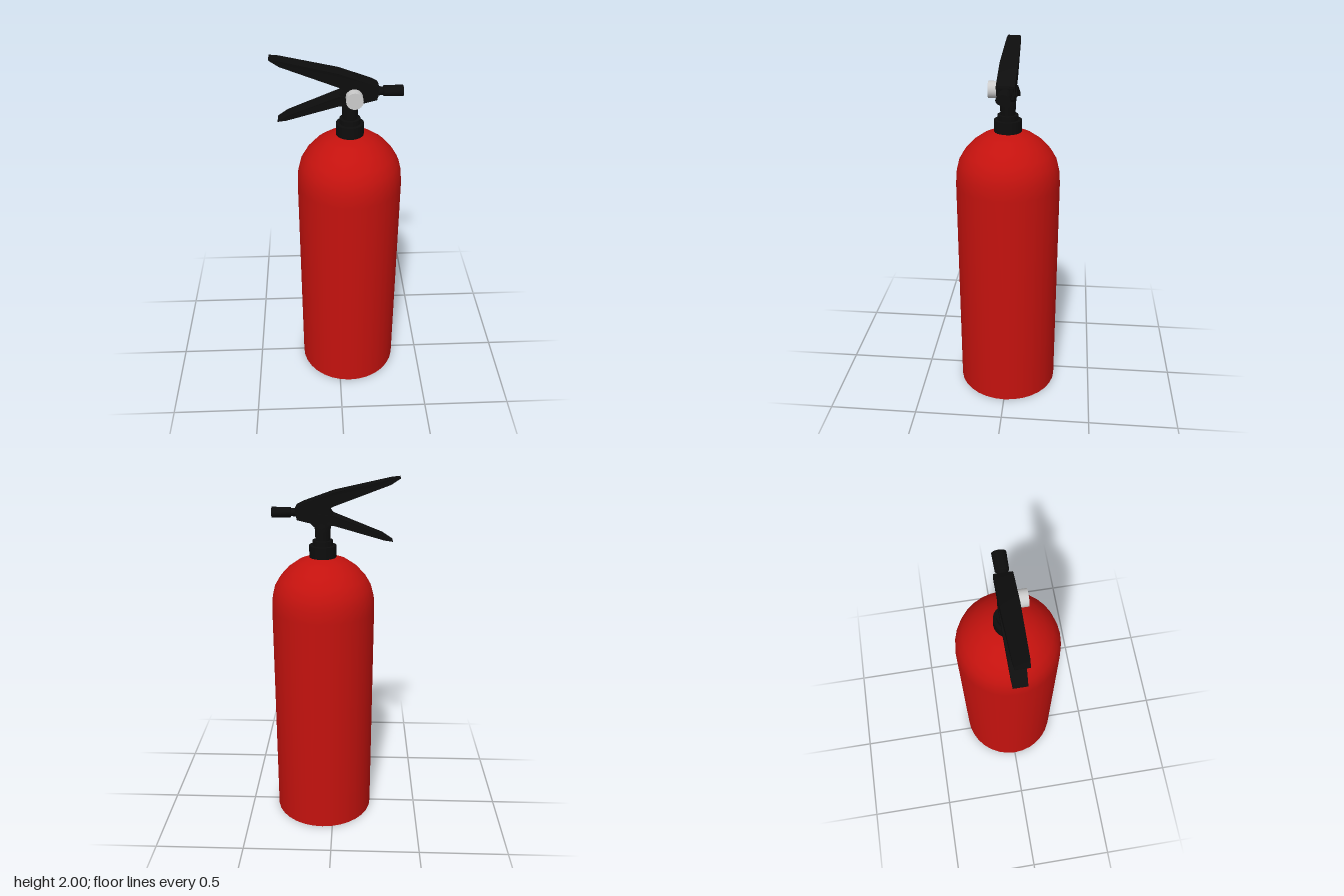
import * as THREE from 'three';
import { toCreasedNormals } from 'three/addons/utils/BufferGeometryUtils.js';

const red = new THREE.MeshStandardMaterial({ color: 0xc4120e });
const black = new THREE.MeshStandardMaterial({ color: 0x0d0d0d });
const grey = new THREE.MeshStandardMaterial({ color: 0xcccccc });
const AXIS = 0.06; // x of the tank's axis

export function createModel() {
  const group = new THREE.Group();

  const add = (name, geometry, material, x = 0, y = 0, z = 0) => {
    const mesh = new THREE.Mesh(geometry, material);
    mesh.name = name;
    mesh.position.set(x, y, z);
    group.add(mesh);
    return mesh;
  };
  const lathe = (pts, sides) =>
    new THREE.LatheGeometry(pts.map(([r, y]) => new THREE.Vector2(r, y)), sides);

  // side outline given a thickness that varies along x
  const lever = (pts, halfWidth) => {
    const shape = new THREE.Shape(pts.map(([x, y]) => new THREE.Vector2(x, y)));
    const geo = new THREE.ExtrudeGeometry(shape, { depth: 2, bevelEnabled: false });
    const p = geo.attributes.position;
    for (let i = 0; i < p.count; i++) {
      p.setZ(i, (p.getZ(i) - 1) * halfWidth(p.getX(i)));
    }
    return toCreasedNormals(geo, 0.5);
  };
  const taper = (x) => {
    if (x >= 0) return 0.048;
    if (x > -0.29) return 0.048 + x * 0.028;
    return 0.04 - (-0.29 - x) * 0.1;
  };

  // tank: straight wall, rounded shoulder, flat base
  add('tank', lathe([
    [0.285, 0], [0.285, 1.28], [0.281, 1.35], [0.266, 1.41], [0.237, 1.46],
    [0.192, 1.51], [0.135, 1.55], [0.07, 1.575], [0, 1.58],
  ], 32), red, AXIS);
  const base = add('tankBase', new THREE.CircleGeometry(0.285, 32), red, AXIS);
  base.rotation.x = Math.PI / 2;

  // neck fittings and valve stem
  add('collar', new THREE.CylinderGeometry(0.074, 0.074, 0.075, 24), black, AXIS, 1.6);
  add('neckRing', new THREE.CylinderGeometry(0.055, 0.055, 0.03, 24), black, AXIS, 1.65);
  add('valveStem', lathe([[0.039, 1.65], [0.042, 1.71], [0.046, 1.78], [0, 1.8]], 20), black, AXIS);

  // valve head under the upper lever
  add('valveHead', lever([
    [0.01, 1.75], [0.105, 1.745], [0.125, 1.763], [0.195, 1.78],
    [0.205, 1.84], [0.15, 1.87], [0.05, 1.86], [0.005, 1.81],
  ], () => 0.042), black);

  // squeeze lever above, carrying handle below
  add('squeezeLever', lever([
    [-0.345, 1.996], [-0.295, 1.964], [0, 1.853], [0.04, 1.83], [0.2, 1.8],
    [0.2, 1.848], [0.165, 1.866], [0, 1.925], [-0.3, 1.994], [-0.345, 2],
  ], taper), black);
  add('carryHandle', lever([
    [-0.315, 1.667], [-0.27, 1.674], [0, 1.752], [0.08, 1.76],
    [0.08, 1.81], [0, 1.805], [-0.26, 1.703],
  ], taper), black);

  // discharge nozzle with a narrow waist
  const nozzle = add('nozzle', lathe([
    [0, 0], [0.037, 0], [0.027, 0.055], [0.027, 0.06],
    [0.035, 0.063], [0.037, 0.163], [0, 0.163],
  ], 16), black, 0.167, 1.813, 0);
  nozzle.geometry = toCreasedNormals(nozzle.geometry, 0.6);
  nozzle.rotation.z = -Math.PI / 2;
  nozzle.scale.x = 0.75;

  // pressure gauge on the front of the valve
  const gauge = add('gauge', new THREE.CylinderGeometry(0.044, 0.044, 0.06, 24), grey, 0.078, 1.8, 0.07);
  gauge.rotation.x = Math.PI / 2;

  return group;
}
